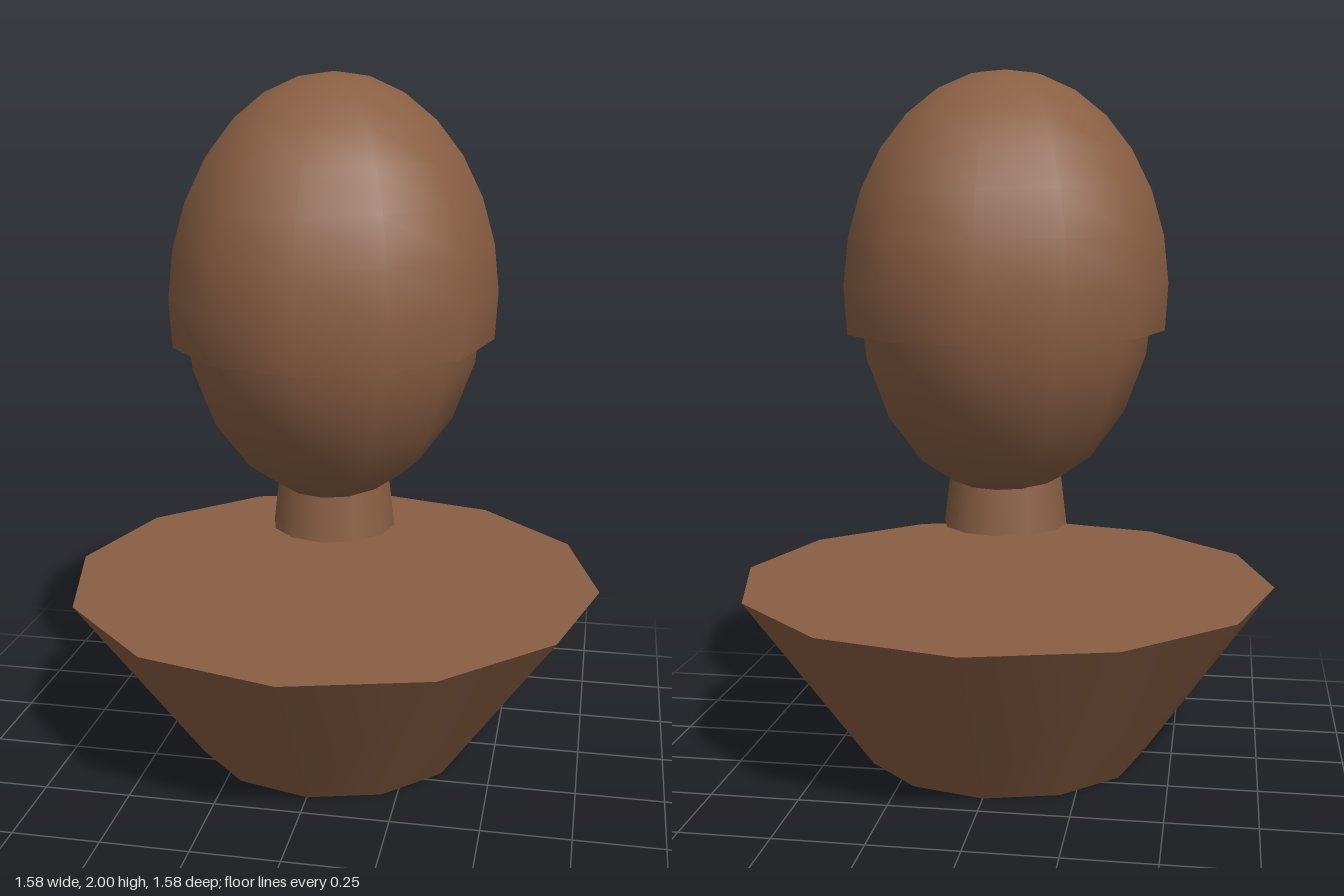
import * as THREE from 'three';

const SIDES = 12;

export function createModel() {
  const group = new THREE.Group();
  const brown = new THREE.MeshStandardMaterial({ color: 0x8a5f44 });
  brown.name = 'warm brown';
  // The cap is an open shell, so its inside shows too
  const brownShell = brown;
  brownShell.side = THREE.DoubleSide;

  const add = (name, geometry, y, scale = [1, 1, 1]) => {
    const mesh = new THREE.Mesh(geometry, brown);
    mesh.name = name;
    mesh.position.y = y;
    mesh.scale.set(...scale);
    group.add(mesh);
  };

  // Tapered torso, wide at the shoulders
  add('torso', new THREE.CylinderGeometry(0.79, 0.415, 0.52, SIDES), 0.26);

  // Neck floats above the torso and runs up into the head
  add('neck', new THREE.CylinderGeometry(0.15, 0.182, 0.27, SIDES), 0.825, [1, 1, 1.06]);

  // Egg-shaped head
  add('head', new THREE.SphereGeometry(1, SIDES, 10), 1.38, [0.43, 0.6, 0.515]);

  // Hair cap, a slightly larger dome open at the bottom
  add('hairCap', new THREE.SphereGeometry(1, SIDES, 8, 0, Math.PI * 2, 0, Math.PI * 0.56), 1.38, [0.47, 0.62, 0.57]);

  return group;
}
